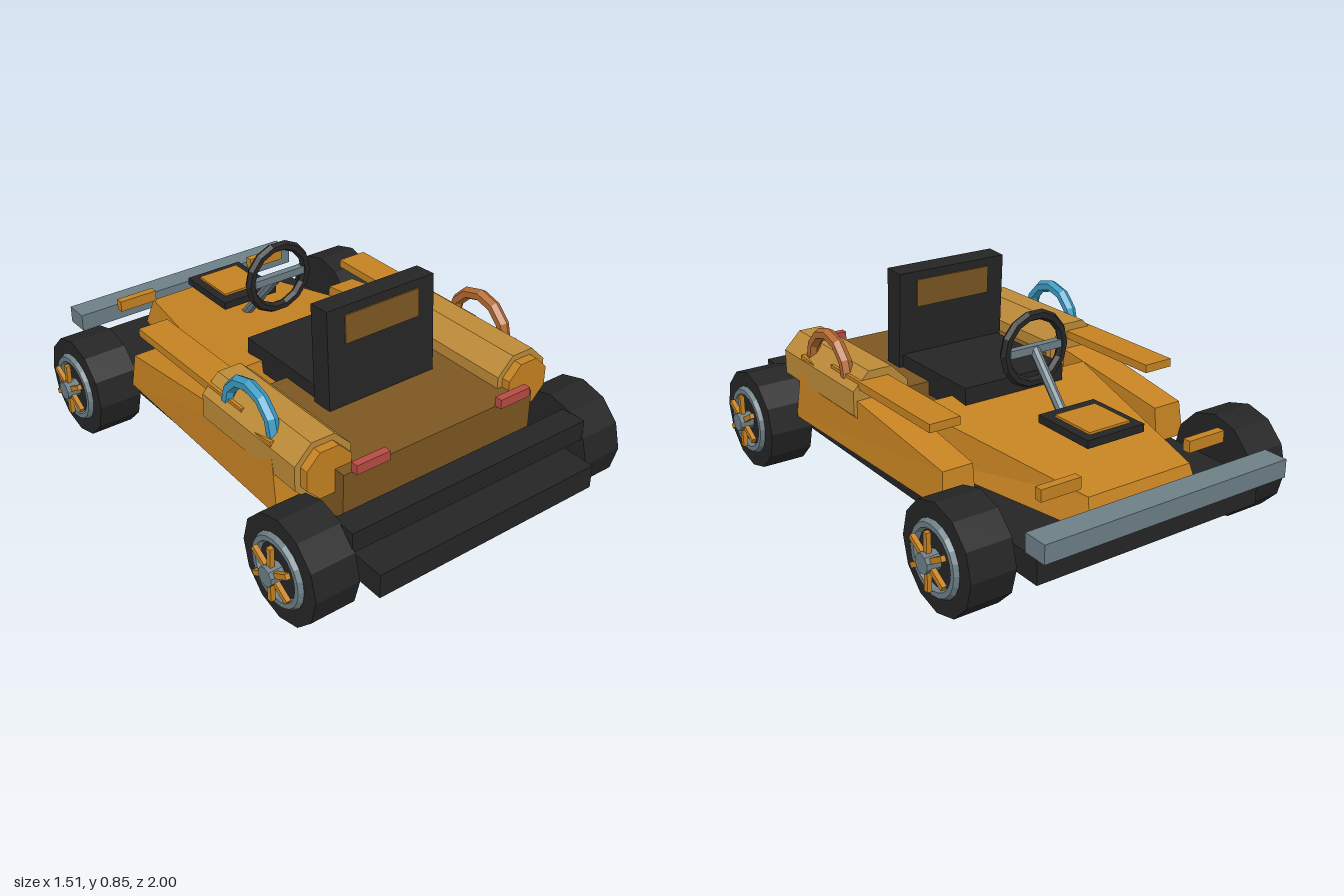
import * as THREE from 'three';

const mat = (name, color, extra = {}) => {
  const m = new THREE.MeshStandardMaterial({ color, flatShading: true, ...extra });
  m.name = name;
  return m;
};

export function createModel() {
  const gold = mat('gold', 0xc68322);
  const brown = mat('brown', 0x7c5722);
  const tan = mat('tan', 0xbd8b38);
  const dark = mat('dark', 0x252525);
  const steel = mat('steel', 0x6d7f87);
  const red = mat('red', 0xb84b45);
  const blue = mat('blue', 0x3a9cc4);
  const copper = mat('copper', 0xb36a30);

  const kart = new THREE.Group();
  kart.name = 'kart';

  const add = (name, geo, material, parent = kart) => {
    const m = new THREE.Mesh(geo, material);
    m.name = name;
    parent.add(m);
    return m;
  };
  // box given by its limits on each axis
  const box = (name, material, [x0, x1], [y0, y1], [z0, z1], parent) => {
    const m = add(name, new THREE.BoxGeometry(x1 - x0, y1 - y0, z1 - z0), material, parent);
    m.position.set((x0 + x1) / 2, (y0 + y1) / 2, (z0 + z1) / 2);
    return m;
  };
  // box whose corners are moved by rule(right, top, rear) -> [x, y, z]
  const wedge = (name, material, rule) => {
    const g = new THREE.BoxGeometry(1, 1, 1);
    const p = g.attributes.position;
    for (let i = 0; i < p.count; i++) p.setXYZ(i, ...rule(p.getX(i) > 0, p.getY(i) > 0, p.getZ(i) > 0));
    g.computeVertexNormals();
    return add(name, g, material);
  };

  // chassis and bumpers
  box('floorPan', dark, [-0.49, 0.49], [0.155, 0.25], [-0.91, 1]);
  box('rearBumper', dark, [-0.53, 0.53], [0.295, 0.375], [0.805, 0.905]);
  box('frontBumper', steel, [-0.53, 0.53], [0.285, 0.355], [-1, -0.9]);

  // sloping nose
  wedge('nose', gold, (r, t, b) => {
    const half = b ? (t ? 0.4 : 0.42) : (t ? 0.225 : 0.245);
    return [r ? half : -half, t ? (b ? 0.45 : 0.36) : 0.25, b ? (t ? -0.03 : 0.01) : (t ? -0.835 : -0.87)];
  });

  // rear deck
  box('rearDeck', brown, [-0.43, 0.43], [0.265, 0.455], [0.13, 0.73]);

  // seat
  box('seatCushion', dark, [-0.225, 0.225], [0.4, 0.507], [-0.12, 0.32]);
  const back = new THREE.Group();
  back.name = 'seatBack';
  back.position.set(0, 0.65, 0.353);
  back.rotation.x = -0.06;
  kart.add(back);
  box('backrest', dark, [-0.24, 0.24], [-0.195, 0.193], [-0.045, 0.045], back);
  box('backrestPanel', brown, [-0.165, 0.165], [0.05, 0.16], [-0.052, 0.052], back);

  // steering
  const wheelRim = add('steeringWheel', new THREE.TorusGeometry(0.13, 0.02, 6, 14), dark);
  wheelRim.position.set(0, 0.65, -0.235);
  box('steeringBar', steel, [-0.115, 0.115], [0.635, 0.665], [-0.25, -0.22]);
  const column = add('steeringColumn', new THREE.CylinderGeometry(0.02, 0.02, 0.36, 8), steel);
  column.position.set(0, 0.515, -0.355);
  column.rotation.x = Math.atan2(0.24, 0.27);

  // instrument panel
  box('panelFrame', dark, [-0.125, 0.125], [0.457, 0.487], [-0.705, -0.43]);
  box('panelFace', gold, [-0.09, 0.09], [0.487, 0.496], [-0.67, -0.48]);

  for (const s of [-1, 1]) {
    const span = (a, b) => (s > 0 ? [a, b] : [-b, -a]);

    // side pod, lower towards the nose
    wedge('sidePod', gold, (r, t, b) => {
      const outer = r === s > 0;
      const x = outer ? (b ? 0.578 : 0.55) - (t ? 0.012 : 0) : (b ? 0.4 : 0.415);
      return [s * x, t ? (b ? 0.52 : 0.385) : 0.25, b ? (t ? 0.51 : 0.56) : (t ? -0.445 : -0.46)];
    });
    box('podRail', gold, span(0.42, 0.545), [0.505, 0.537], [-0.38, 0.31]);

    // eight-sided side tank with end cap
    const tank = add('sideTank', new THREE.CylinderGeometry(0.125, 0.125, 0.55, 8).rotateY(Math.PI / 8).rotateX(Math.PI / 2), tan);
    tank.position.set(s * 0.453, 0.453, 0.375);
    const cap = add('tankCap', new THREE.CylinderGeometry(0.1, 0.1, 0.05, 8).rotateY(Math.PI / 8).rotateX(Math.PI / 2), gold);
    cap.position.set(s * 0.453, 0.453, 0.66);

    // arched handle
    const handle = add('handle', new THREE.TorusGeometry(0.14, 0.025, 6, 6, Math.PI).rotateY(Math.PI / 2), s < 0 ? blue : copper);
    handle.position.set(s * 0.53, 0.505, 0.345);

    // lamps
    box('frontLamp', gold, span(0.24, 0.405), [0.385, 0.43], [-0.815, -0.783]);
    box('tailLamp', red, span(0.253, 0.395), [0.455, 0.492], [0.725, 0.755]);

    // wheels
    for (const z of [-0.65, 0.74]) {
      const wheel = new THREE.Group();
      wheel.name = z < 0 ? 'frontWheel' : 'rearWheel';
      wheel.position.set(s * 0.613, 0.202, z);
      wheel.rotation.y = s * Math.PI / 2; // local +z points outward
      kart.add(wheel);
      add('tyre', new THREE.CylinderGeometry(0.202, 0.202, 0.176, 12).rotateX(Math.PI / 2), dark, wheel);
      const ring = add('rimRing', new THREE.TorusGeometry(0.12, 0.019, 6, 20), steel, wheel);
      ring.position.z = 0.088;
      for (let i = 0; i < 6; i++) {
        const spoke = new THREE.Group();
        spoke.name = 'spoke';
        spoke.rotation.z = i * Math.PI / 3;
        wheel.add(spoke);
        box('spokeBar', gold, [-0.01, 0.01], [0.02, 0.108], [0.11, 0.128], spoke);
      }
      const hub = add('hub', new THREE.CylinderGeometry(0.037, 0.037, 0.06, 10).rotateX(Math.PI / 2), steel, wheel);
      hub.position.z = 0.114;
    }
  }

  // axles
  for (const z of [-0.65, 0.74]) {
    const axle = add('axle', new THREE.CylinderGeometry(0.025, 0.025, 1.2, 8).rotateZ(Math.PI / 2), steel);
    axle.position.set(0, 0.205, z);
  }

  return kart;
}
